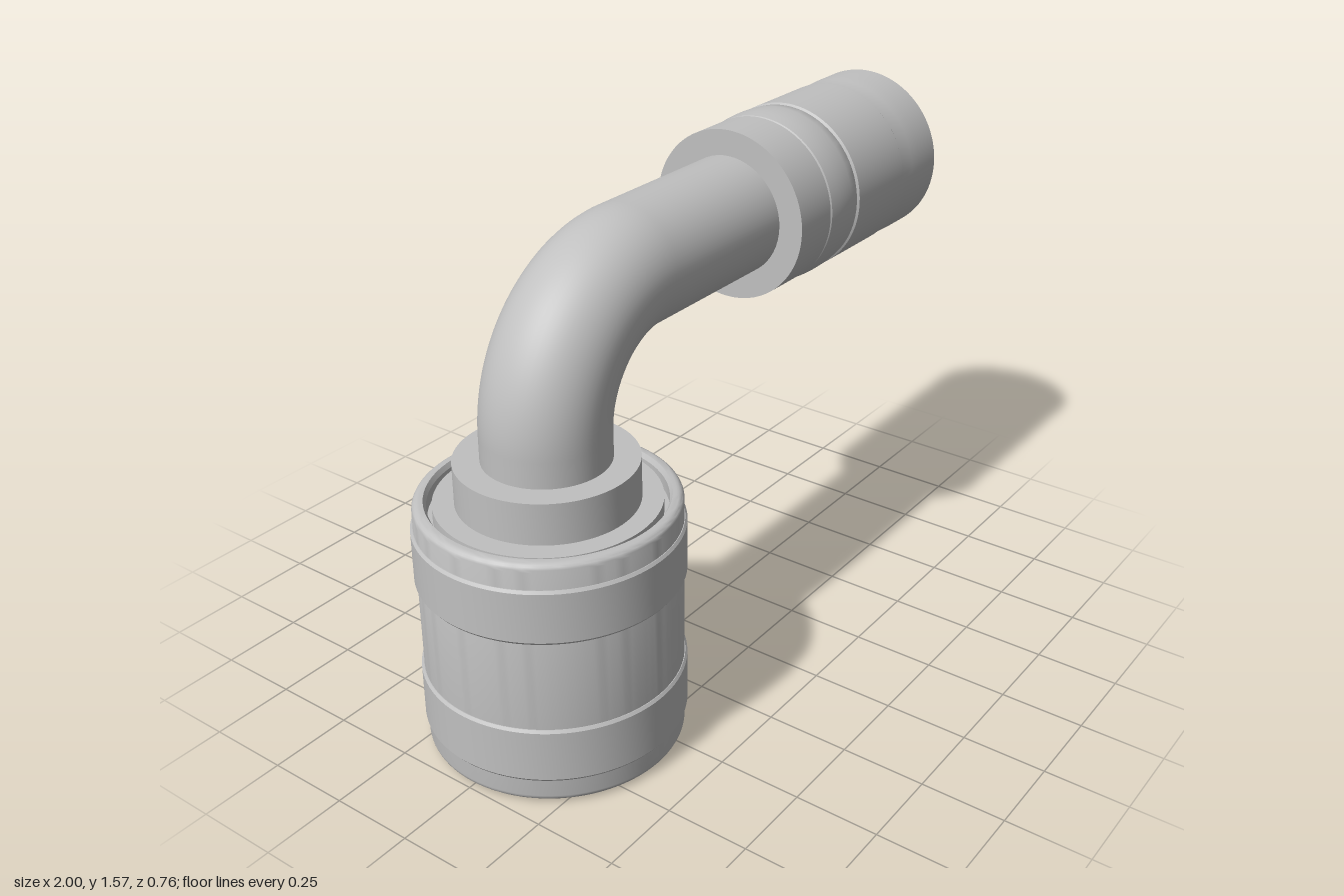
import * as THREE from 'three';
import { toCreasedNormals } from 'three/addons/utils/BufferGeometryUtils.js';

const steel = new THREE.MeshStandardMaterial({ color: 0xc0c0c0, side: THREE.DoubleSide });
steel.name = 'steel grey';

const CX = -0.622;   // axis of the upright coupling
const PIPE_Y = 1.31; // axis of the level pipe
const BEND = 0.357;  // bend radius of the elbow

// Turned part: [radius, height] pairs run up the outside and down the inside.
function turned(name, profile) {
  const points = profile.map(([r, y]) => new THREE.Vector2(r, y));
  const mesh = new THREE.Mesh(toCreasedNormals(new THREE.LatheGeometry(points, 96), 0.5), steel);
  mesh.name = name;
  return mesh;
}

// Quarter-round corner, from angle a0 to a1 in degrees.
function round(cr, cy, rad, a0, a1, steps = 5) {
  return Array.from({ length: steps + 1 }, (_, i) => {
    const a = THREE.MathUtils.degToRad(a0 + (a1 - a0) * i / steps);
    return [cr + rad * Math.cos(a), cy + rad * Math.sin(a)];
  });
}

// Pipe centre line: short riser, quarter bend, level run.
function pipePath(startY, endX) {
  const v = (x, y) => new THREE.Vector3(x, y, 0);
  const bendX = CX + BEND, bendY = PIPE_Y - BEND, k = BEND * 0.5523;
  const path = new THREE.CurvePath();
  path.add(new THREE.LineCurve3(v(CX, startY), v(CX, bendY)));
  path.add(new THREE.CubicBezierCurve3(v(CX, bendY), v(CX, bendY + k), v(bendX - k, PIPE_Y), v(bendX, PIPE_Y)));
  path.add(new THREE.LineCurve3(v(bendX, PIPE_Y), v(endX, PIPE_Y)));
  return path;
}

function pipe(name, startY, endX, radius) {
  const mesh = new THREE.Mesh(new THREE.TubeGeometry(pipePath(startY, endX), 120, radius, 56), steel);
  mesh.name = name;
  return mesh;
}

export function createModel() {
  const model = new THREE.Group();
  model.name = 'elbowHoseFitting';

  // Upright coupling: sleeve, grip bands, collar and socket
  const coupling = new THREE.Group();
  coupling.name = 'coupling';
  coupling.position.x = CX;
  coupling.add(turned('sleeve', [
    [0.335, 0.06], [0.345, 0.006],
    ...round(0.35, 0.026, 0.02, -90, 0),
    ...round(0.348, 0.742, 0.022, 0, 90),
    [0.338, 0.764], [0.33, 0.75], [0.33, 0.71],
    [0.315, 0.71], [0.315, 0.752], [0.25, 0.752],
  ]));
  for (const [name, y0, y1] of [['lowerBand', 0.08, 0.25], ['upperBand', 0.525, 0.69]]) {
    coupling.add(turned(name, [
      [0.365, y0], [0.372, y0], [0.378, y0 + 0.008],
      [0.378, y1 - 0.008], [0.372, y1], [0.365, y1],
    ]));
  }
  coupling.add(turned('collar', [[0.255, 0.74], [0.255, 0.875], [0.17, 0.875]]));
  coupling.add(turned('socket', [
    [0.335, 0.06], [0.268, 0.06], [0.268, 0.006], [0.262, 0],
    [0.247, 0], [0.235, 0.025], [0.21, 0.03], [0.21, 0.55], [0.128, 0.6],
  ]));
  model.add(coupling);

  // Bent pipe and its bore
  model.add(pipe('pipe', 0.86, 0.3, 0.18));
  model.add(pipe('pipeBore', 0.6, 0.94, 0.128));

  // Crimped ferrule and hose nipple, turned along the level run
  const hoseEnd = new THREE.Group();
  hoseEnd.name = 'hoseEnd';
  hoseEnd.position.y = PIPE_Y;
  hoseEnd.rotation.z = -Math.PI / 2;
  hoseEnd.add(turned('ferrule', [
    [0.17, 0.22], [0.257, 0.22], [0.257, 0.376], [0.253, 0.38], [0.257, 0.385],
    [0.261, 0.42], [0.262, 0.455], [0.261, 0.49], [0.257, 0.525],
    [0.254, 0.53], [0.261, 0.535], [0.261, 0.795], [0.258, 0.8],
    [0.257, 0.83], [0.259, 0.86], [0.261, 0.9], [0.261, 1],
    [0.257, 1], [0.236, 0.8], [0.16, 0.8],
  ]));
  hoseEnd.add(turned('nipple', [
    [0.165, 0.78], ...round(0.14, 0.935, 0.025, 0, 90),
    [0.134, 0.958], [0.128, 0.94],
  ]));
  model.add(hoseEnd);

  return model;
}
